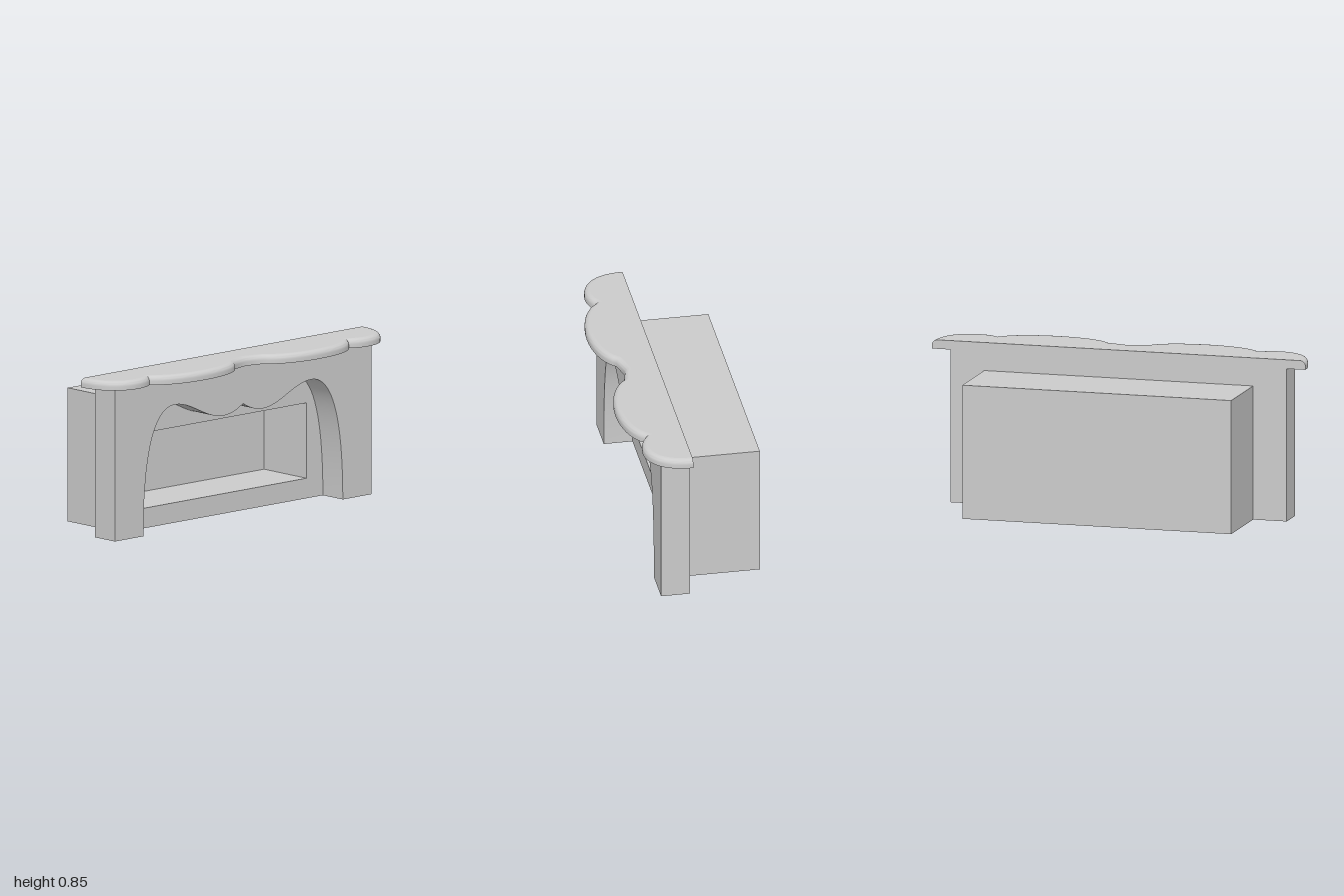
import * as THREE from 'three';
import { toCreasedNormals } from 'three/addons/utils/BufferGeometryUtils.js';

const material = new THREE.MeshStandardMaterial({ color: 0xcccccc });

function addMesh(group, name, geometry) {
  const mesh = new THREE.Mesh(geometry, material);
  mesh.name = name;
  group.add(mesh);
  return mesh;
}

// Samples the +x half of a symmetric curve, then mirrors it: runs from -x to +x
function mirroredPoints(path, divisions) {
  const half = path.getPoints(divisions);
  const left = half.slice(1).reverse().map((p) => new THREE.Vector2(-p.x, p.y));
  return [...left, ...half];
}

function extrude(shape, z0, z1) {
  const geometry = new THREE.ExtrudeGeometry(shape, { depth: z1 - z0, bevelEnabled: false });
  geometry.translate(0, 0, z0);
  return toCreasedNormals(geometry, 0.5);
}

// Front panel with a double-humped arch open to the floor
function surroundGeometry() {
  const arch = new THREE.Path();
  arch.moveTo(0, 0.6);
  arch.bezierCurveTo(0.04, 0.575, 0.08, 0.555, 0.14, 0.555);
  arch.bezierCurveTo(0.26, 0.555, 0.36, 0.66, 0.48, 0.66);
  arch.bezierCurveTo(0.62, 0.66, 0.7, 0.45, 0.7, 0);
  const outline = [[0.9, 0], [0.9, 0.8], [-0.9, 0.8], [-0.9, 0]].map(([x, y]) => new THREE.Vector2(x, y));
  return extrude(new THREE.Shape([...outline, ...mirroredPoints(arch, 20)]), 0.05, 0.2);
}

// Walls of the firebox around its rectangular mouth
function fireboxGeometry(back) {
  const rectangle = (Type, x, y0, y1) => new Type(
    [[-x, y0], [x, y0], [x, y1], [-x, y1]].map(([a, b]) => new THREE.Vector2(a, b)));
  const shape = rectangle(THREE.Shape, 0.72, 0, 0.7);
  shape.holes.push(rectangle(THREE.Path, 0.585, 0.105, 0.5));
  return extrude(shape, back, 0.05);
}

// Scalloped shelf edge in plan: points are (x, z), from left end to right end
function shelfOutline() {
  const path = new THREE.Path();
  path.moveTo(0, 0.22);
  path.lineTo(0.1, 0.245);
  path.bezierCurveTo(0.2, 0.378, 0.6, 0.378, 0.7, 0.245);
  path.bezierCurveTo(0.78, 0.31, 1, 0.3, 1, 0.05);
  return mirroredPoints(path, 20);
}

// Moves the outline inwards along mitred normals; the ends slide along the wall
function inset(points, distance) {
  const last = points.length - 1;
  const normal = (a, b) => new THREE.Vector2(a.y - b.y, b.x - a.x).normalize();
  return points.map((p, i) => {
    if (i === 0 || i === last) return new THREE.Vector2(p.x - Math.sign(p.x) * distance, p.y);
    const n0 = normal(points[i - 1], p);
    const n1 = normal(p, points[i + 1]);
    const mitre = n0.clone().add(n1).divideScalar(1 + n0.dot(n1));
    return p.clone().addScaledVector(mitre, -distance);
  });
}

// Edge profile of the shelf: upright below, quarter round above
const shelfTop = 0.847;
const round = 0.028;
const profile = [{ inset: 0, y: 0.8 }];
for (let k = 0; k <= 7; k++) {
  const a = (k / 7) * Math.PI / 2;
  profile.push({ inset: round * (1 - Math.cos(a)), y: shelfTop - round * (1 - Math.sin(a)) });
}

function shelfEdgeGeometry(outline) {
  const positions = [];
  const index = [];
  const n = outline.length;
  for (const step of profile) {
    for (const p of inset(outline, step.inset)) positions.push(p.x, step.y, p.y);
  }
  for (let r = 0; r < profile.length - 1; r++) {
    for (let i = 0; i < n - 1; i++) {
      const a = r * n + i;
      index.push(a, a + 1, a + n + 1, a, a + n + 1, a + n);
    }
  }
  const geometry = new THREE.BufferGeometry();
  geometry.setAttribute('position', new THREE.Float32BufferAttribute(positions, 3));
  geometry.setIndex(index);
  return toCreasedNormals(geometry, 0.7);
}

// Flat face over a plan outline, facing up or down
function capGeometry(points, y, up) {
  const sign = up ? -1 : 1;
  const geometry = new THREE.ShapeGeometry(
    new THREE.Shape(points.map((p) => new THREE.Vector2(p.x, sign * p.y))));
  geometry.rotateX(sign * Math.PI / 2);
  geometry.translate(0, y, 0);
  return geometry;
}

// Flat rear face that follows the rounded ends
function shelfBackGeometry() {
  const side = (s) => profile.map((p) => new THREE.Vector2(s * (1 - p.inset), p.y));
  const geometry = new THREE.ShapeGeometry(new THREE.Shape([...side(1), ...side(-1).reverse()]));
  geometry.rotateY(Math.PI);
  geometry.translate(0, 0, 0.05);
  return geometry;
}

export function createModel() {
  const model = new THREE.Group();
  model.name = 'fireplace';

  addMesh(model, 'surround', surroundGeometry());

  const firebox = new THREE.Group();
  firebox.name = 'firebox';
  const recessBack = -0.27;
  addMesh(firebox, 'fireboxWalls', fireboxGeometry(recessBack));
  addMesh(firebox, 'fireboxBack', new THREE.BoxGeometry(1.44, 0.7, recessBack + 0.35))
    .position.set(0, 0.35, (recessBack - 0.35) / 2);
  model.add(firebox);

  const shelf = new THREE.Group();
  shelf.name = 'mantelShelf';
  const outline = shelfOutline();
  addMesh(shelf, 'shelfEdge', shelfEdgeGeometry(outline));
  addMesh(shelf, 'shelfTop', capGeometry(inset(outline, round), shelfTop, true));
  addMesh(shelf, 'shelfUnderside', capGeometry(outline, 0.8, false));
  addMesh(shelf, 'shelfBack', shelfBackGeometry());
  model.add(shelf);

  return model;
}
